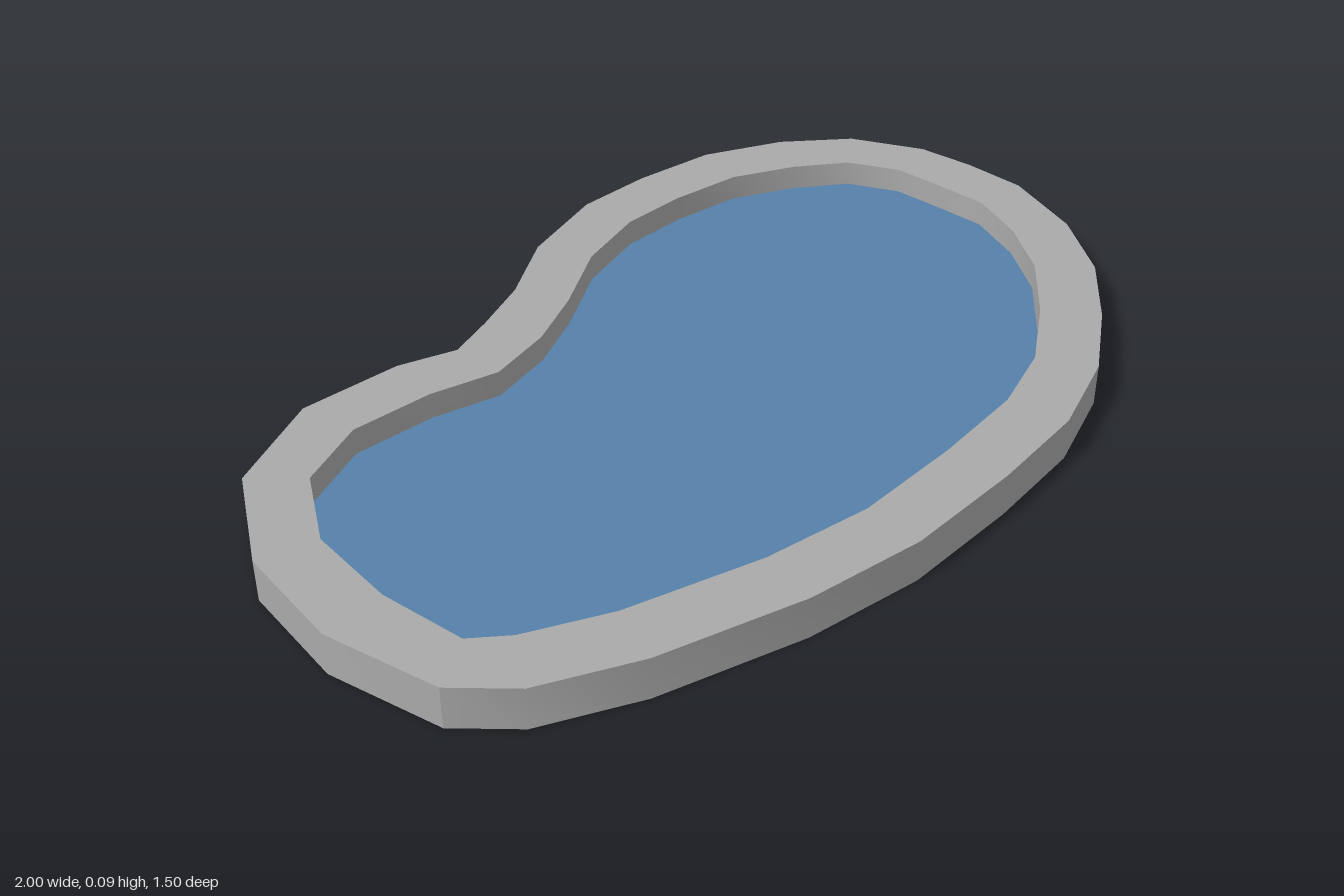
import * as THREE from 'three';
import { toCreasedNormals } from 'three/addons/utils/BufferGeometryUtils.js';

// Outlines as x, z pairs seen from above
const OUTER = [
  0.44, -0.75, 0.63, -0.72, 0.79, -0.65, 0.91, -0.52, 0.96, -0.4, 1, -0.26, 0.985, -0.06,
  0.92, 0.12, 0.81, 0.28, 0.68, 0.43, 0.51, 0.55, 0.3, 0.635, 0.05, 0.715, -0.2, 0.75,
  -0.51, 0.75, -0.72, 0.715, -0.84, 0.645, -0.96, 0.43, -1, 0.19, -0.94, -0.05, -0.765, -0.21,
  -0.55, -0.26, -0.42, -0.255, -0.33, -0.32, -0.22, -0.41, -0.1, -0.55, 0.08, -0.67, 0.25, -0.72,
];
const INNER = [
  0.44, -0.62, 0.59, -0.595, 0.715, -0.55, 0.8, -0.46, 0.835, -0.36, 0.875, -0.235, 0.86, -0.095,
  0.81, 0.05, 0.71, 0.2, 0.59, 0.34, 0.45, 0.435, 0.25, 0.515, 0.02, 0.59, -0.21, 0.62,
  -0.5, 0.62, -0.68, 0.59, -0.76, 0.555, -0.835, 0.385, -0.875, 0.19, -0.83, 0.01, -0.705, -0.095,
  -0.53, -0.135, -0.38, -0.14, -0.25, -0.215, -0.14, -0.315, -0.015, -0.455, 0.13, -0.55, 0.28, -0.595,
];
const HEIGHT = 0.09;
const WATER_LEVEL = 0.033;

function points(flat) {
  const list = [];
  for (let i = 0; i < flat.length; i += 2) list.push(new THREE.Vector2(flat[i], -flat[i + 1]));
  return list;
}

// Upright slab of a shape, from y = bottom to y = top
function slab(name, shape, bottom, top, material) {
  const geometry = new THREE.ExtrudeGeometry(shape, { depth: top - bottom, bevelEnabled: false });
  geometry.rotateX(-Math.PI / 2).translate(0, bottom, 0);
  const mesh = new THREE.Mesh(toCreasedNormals(geometry, Math.PI / 6), material);
  mesh.name = name;
  return mesh;
}

export function createModel() {
  const stone = new THREE.MeshStandardMaterial({ color: 0xaaaaaa });
  stone.name = 'grey stone';
  const blue = new THREE.MeshStandardMaterial({ color: 0x5680a8 });
  blue.name = 'water blue';

  // Kidney-shaped rim; the hole runs against the outline so its wall faces inward
  const rimShape = new THREE.Shape(points(OUTER).reverse());
  rimShape.holes.push(new THREE.Path(points(INNER)));
  const basin = new THREE.Shape(points(INNER));

  const pool = new THREE.Group();
  pool.name = 'pool';
  pool.add(
    slab('rim', rimShape, 0, HEIGHT, stone),
    slab('floor', basin, 0, WATER_LEVEL - 0.008, stone),
    slab('water', basin, WATER_LEVEL - 0.008, WATER_LEVEL, blue),
  );
  return pool;
}
